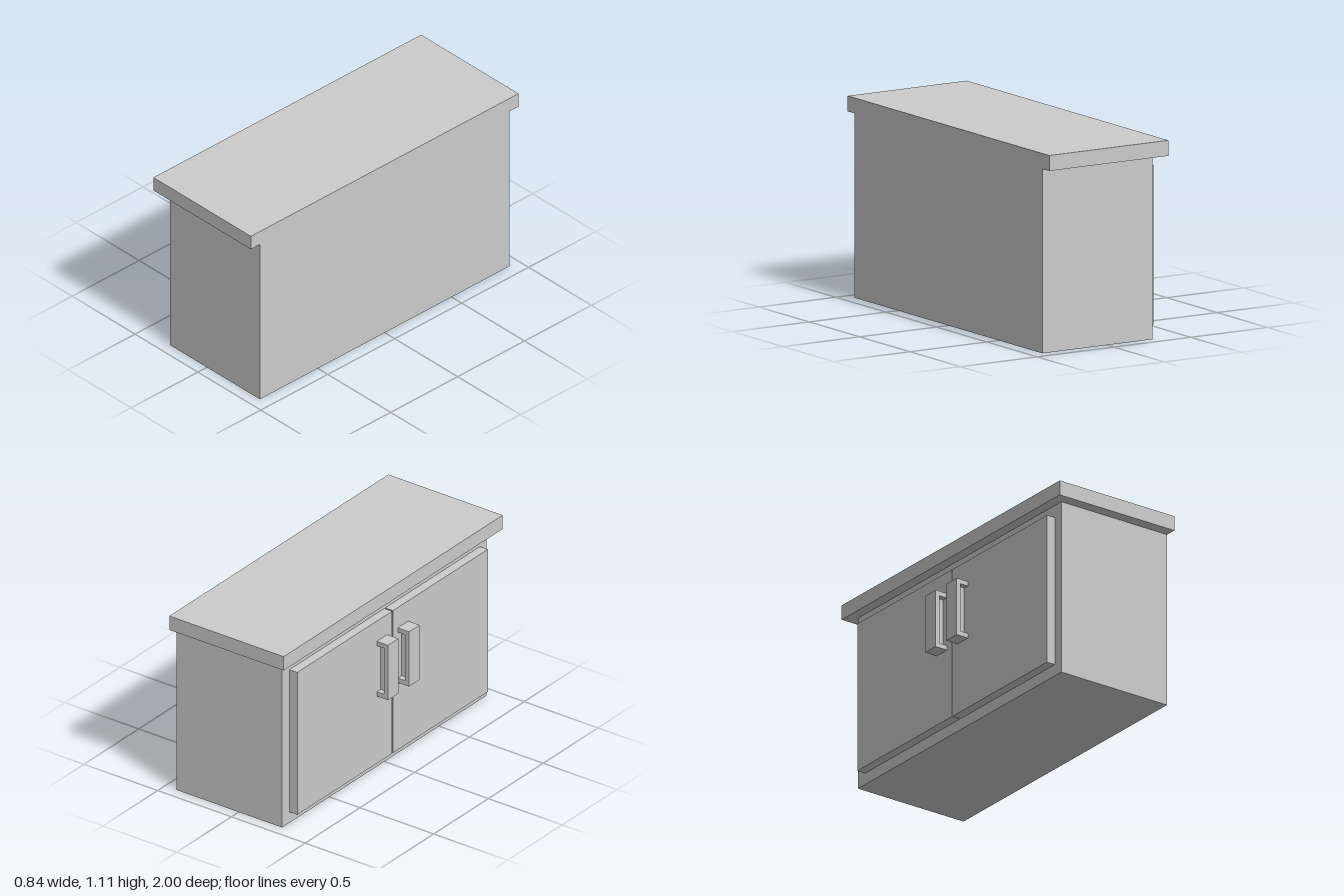
import * as THREE from 'three';

const material = new THREE.MeshStandardMaterial({ color: 0xcccccc, flatShading: true });

// Box given by its low and high limits on each axis
function box(name, [x0, x1], [y0, y1], [z0, z1]) {
  const mesh = new THREE.Mesh(new THREE.BoxGeometry(x1 - x0, y1 - y0, z1 - z0), material);
  mesh.position.set((x0 + x1) / 2, (y0 + y1) / 2, (z0 + z1) / 2);
  mesh.name = name;
  return mesh;
}

// Upright pull: C-shaped bracket with a thin web set back from both sides
function handle(z) {
  const group = new THREE.Group();
  group.name = 'handle';
  const half = 0.048, web = 0.013;
  const shape = new THREE.Shape([
    [-0.347, 0.484], [-0.347, 0.512], [-0.397, 0.512], [-0.397, 0.797],
    [-0.347, 0.797], [-0.347, 0.824], [-0.423, 0.824], [-0.423, 0.484],
  ].map(([x, y]) => new THREE.Vector2(x, y)));
  const bracket = new THREE.Mesh(
    new THREE.ExtrudeGeometry(shape, { depth: half * 2, bevelEnabled: false }), material);
  bracket.position.z = z - half;
  bracket.name = 'handleBracket';
  group.add(bracket, box('handleWeb', [-0.397, -0.347], [0.512, 0.797], [z - web, z + web]));
  return group;
}

export function createModel() {
  const model = new THREE.Group();
  model.name = 'cabinet';
  model.add(
    box('cabinetBody', [-0.294, 0.421], [0, 1.023], [-0.933, 0.933]),
    box('countertop', [-0.354, 0.421], [1.023, 1.109], [-1, 1]),
  );

  // Pair of doors on the -x side, with handles beside the gap
  const middle = 0.004;
  for (const side of [-1, 1]) {
    const edges = [middle + side * 0.004, middle + side * 0.87].sort((a, b) => a - b);
    model.add(box('door', [-0.347, -0.294], [0.067, 0.95], edges));
    model.add(handle(middle + side * 0.096));
  }
  return model;
}
